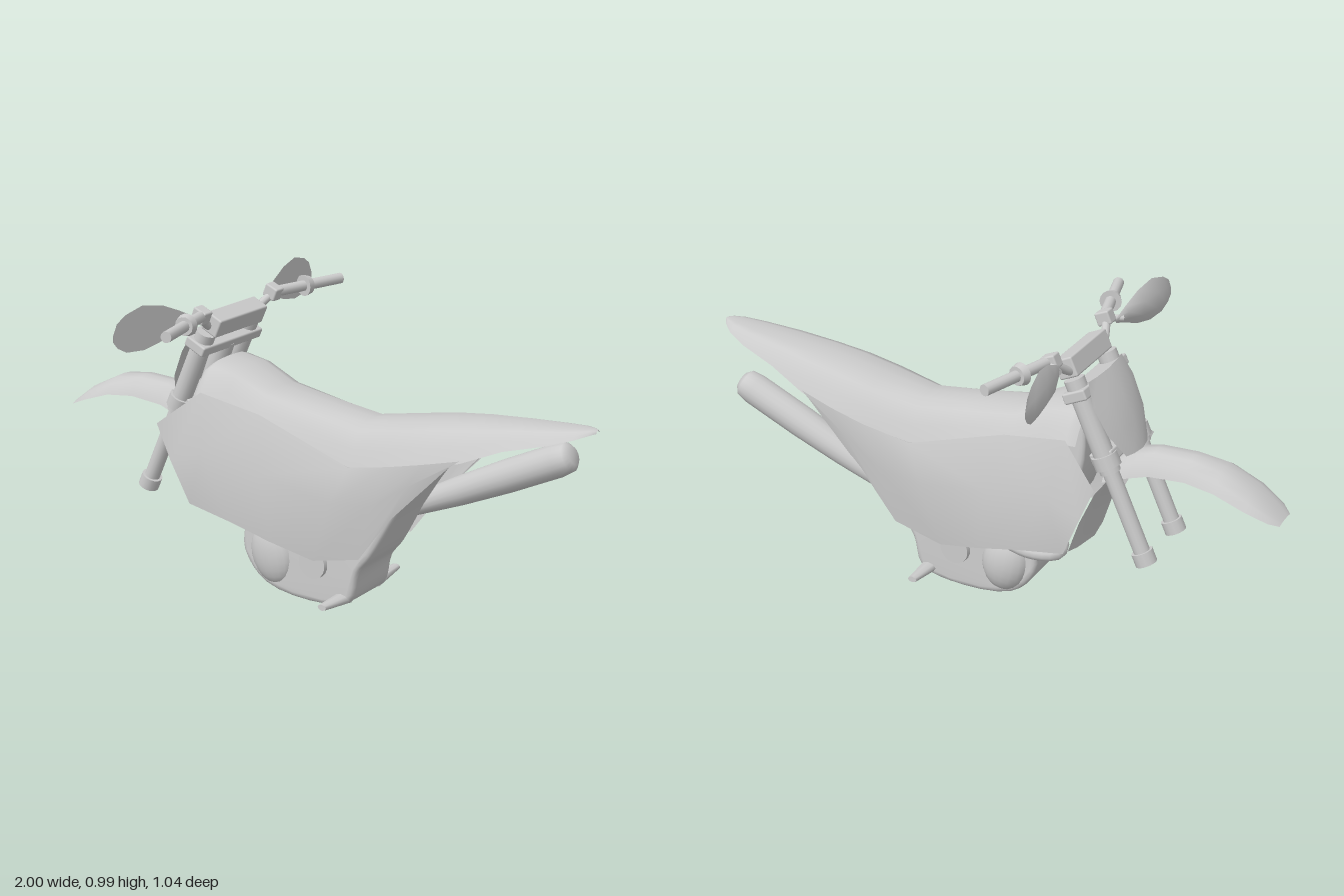
import * as THREE from 'three';
import { RoundedBoxGeometry } from 'three/addons/geometries/RoundedBoxGeometry.js';
import { mergeVertices } from 'three/addons/utils/BufferGeometryUtils.js';

const V = (p) => new THREE.Vector3(...p);

export function createModel() {
  const model = new THREE.Group();
  const solid = new THREE.MeshStandardMaterial({ color: 0xcccccc });
  const sheet = new THREE.MeshStandardMaterial({ color: 0xcccccc, side: THREE.DoubleSide });

  function add(name, geometry, material = solid, parent = model) {
    const mesh = new THREE.Mesh(geometry, material);
    mesh.name = name;
    parent.add(mesh);
    return mesh;
  }

  // Surface through rows of points, all rows the same length
  function surface(rows) {
    const n = rows[0].length, index = [];
    for (let i = 0; i < rows.length - 1; i++) {
      for (let j = 0; j < n - 1; j++) {
        const a = i * n + j, b = a + n;
        index.push(a, b, a + 1, b, b + 1, a + 1);
      }
    }
    const g = new THREE.BufferGeometry();
    g.setAttribute('position', new THREE.Float32BufferAttribute(rows.flat(2), 3));
    g.setIndex(index);
    g.computeVertexNormals();
    return g;
  }

  // Arched shell: stations are [x, crown y, edge y, half width]
  function arch(stations, profile) {
    const half = profile.slice(1);
    const full = [...half.map(([w, h]) => [-w, h]).reverse(), profile[0], ...half];
    return surface(stations.map(([x, top, edge, w]) =>
      full.map(([u, h]) => [x, edge + (top - edge) * h, u * w])));
  }

  // Round bar between two points
  function rod(name, a, b, r0, r1 = r0, parent = model, sides = 14) {
    const p = V(a), q = V(b), d = q.clone().sub(p);
    const mesh = add(name, new THREE.CylinderGeometry(r1, r0, d.length(), sides), solid, parent);
    mesh.position.copy(p).add(q).multiplyScalar(0.5);
    mesh.quaternion.setFromUnitVectors(new THREE.Vector3(0, 1, 0), d.normalize());
    return mesh;
  }

  function box(name, size, pos, tilt = 0, r = 0.006) {
    const mesh = add(name, new RoundedBoxGeometry(...size, 2, r));
    mesh.position.set(...pos);
    mesh.rotation.z = tilt;
    return mesh;
  }

  // Tank, seat and tail in one flowing shell
  add('tankSeatAndTail', arch([
    [-0.37, 0.72, 0.63, 0.15], [-0.34, 0.74, 0.635, 0.16], [-0.25, 0.73, 0.61, 0.15],
    [-0.13, 0.675, 0.585, 0.14], [0.05, 0.65, 0.54, 0.135], [0.22, 0.63, 0.5, 0.135],
    [0.38, 0.66, 0.535, 0.157], [0.5, 0.683, 0.565, 0.155], [0.62, 0.7, 0.592, 0.142],
    [0.75, 0.713, 0.648, 0.115], [0.88, 0.724, 0.682, 0.085], [0.95, 0.73, 0.705, 0.058],
    [0.985, 0.732, 0.718, 0.03], [1, 0.73, 0.722, 0.01],
  ], [[0, 1], [0.38, 0.97], [0.64, 0.83], [0.85, 0.42], [1, 0]]), sheet);

  // Side panels flaring out at the front; columns run top to bottom
  const panel = [
    [[-0.47, 0.54, 0.226], [-0.42, 0.42, 0.221], [-0.36, 0.28, 0.203]],
    [[-0.34, 0.65, 0.16], [-0.3, 0.47, 0.213], [-0.2, 0.25, 0.199]],
    [[-0.12, 0.61, 0.14], [-0.08, 0.43, 0.195], [-0.05, 0.21, 0.186]],
    [[0.22, 0.5, 0.138], [0.17, 0.38, 0.172], [0.1, 0.17, 0.158]],
    [[0.38, 0.54, 0.16], [0.32, 0.4, 0.167], [0.27, 0.21, 0.153]],
    [[0.5, 0.57, 0.157], [0.45, 0.49, 0.164], [0.38, 0.36, 0.158]],
    [[0.62, 0.6, 0.142], [0.59, 0.578, 0.147], [0.53, 0.525, 0.15]],
  ];
  for (const s of [1, -1]) {
    add('sidePanel', surface(panel.map((c) => c.map(([x, y, z]) => [x, y, s * z]))), sheet);
  }

  // Frame and crankcase core: smooth outline, narrowing towards the top
  const outline = [[-0.34, 0.7], [-0.37, 0.6], [-0.33, 0.4], [-0.22, 0.25], [-0.215, 0.12], [-0.13, 0.025],
    [0.1, 0.002], [0.205, 0.035], [0.235, 0.14], [0.28, 0.2], [0.37, 0.36], [0.48, 0.52], [0.6, 0.64],
    [0.22, 0.59], [-0.15, 0.63]].map(([x, y]) => new THREE.Vector3(x, y, 0));
  const loop = new THREE.CatmullRomCurve3(outline, true).getPoints(60).slice(0, -1);
  let core = new THREE.ExtrudeGeometry(new THREE.Shape(loop.map((p) => new THREE.Vector2(p.x, p.y))),
    { depth: 0.18, bevelThickness: 0.018, bevelSize: 0.018, bevelOffset: -0.018, bevelSegments: 3 });
  core.deleteAttribute('normal');
  core.deleteAttribute('uv');
  core = mergeVertices(core, 1e-4);
  core.translate(0, 0, -0.09);
  const cp = core.attributes.position;
  for (let i = 0; i < cp.count; i++) {
    cp.setZ(i, cp.getZ(i) * (1 - 0.25 * Math.max(0, (cp.getY(i) - 0.15) / 0.5)));
  }
  core.computeVertexNormals();
  add('frameCore', core);

  // Engine covers and foot pegs
  for (const s of [1, -1]) {
    const cover = add('crankCover', new THREE.SphereGeometry(1, 18, 12));
    cover.scale.set(0.082, 0.105, s > 0 ? 0.045 : 0.055);
    cover.position.set(-0.105, 0.13, s * 0.09);
    cover.rotation.z = 0.2;
    rod('clutchCover', [0.07, 0.14, s * 0.07], [0.07, 0.14, s * 0.122], 0.055, 0.05, model, 18);
    const peg = rod('footPeg', [0.175, 0.038, s * 0.08], [0.175, 0.047, s * 0.215], 0.019, 0.01, model, 8);
    peg.scale.x = 1.6;
  }

  // Exhaust: header pipe in front of the engine, silencer beside the tail
  add('headerPipe', new THREE.TubeGeometry(new THREE.CatmullRomCurve3([
    [-0.18, 0.26, 0], [-0.27, 0.21, -0.02], [-0.28, 0.195, -0.07], [-0.2, 0.2, -0.115],
    [0, 0.26, -0.115], [0.25, 0.3, -0.11]].map(V)), 30, 0.022, 10));
  const silencer = add('silencer', new THREE.LatheGeometry([
    [0, 0], [0.026, 0], [0.035, 0.12], [0.047, 0.3], [0.053, 0.48], [0.053, 0.67],
    [0.047, 0.71], [0.03, 0.725], [0, 0.725]].map((p) => new THREE.Vector2(...p)), 18));
  silencer.position.set(0.2, 0.27, -0.11);
  silencer.quaternion.setFromUnitVectors(new THREE.Vector3(0, 1, 0), V([0.63, 0.305, -0.03]).normalize());

  // Front fender and the curved guard hanging behind the forks
  const bend = [[0, 1], [0.45, 0.93], [0.8, 0.6], [1, 0]];
  add('frontFender', arch([
    [-1, 0.47, 0.465, 0.045], [-0.97, 0.495, 0.48, 0.072], [-0.9, 0.55, 0.51, 0.09], [-0.8, 0.6, 0.545, 0.088],
    [-0.7, 0.615, 0.555, 0.078], [-0.58, 0.612, 0.545, 0.075], [-0.5, 0.59, 0.52, 0.08], [-0.43, 0.54, 0.49, 0.08],
  ], bend), sheet);
  add('innerGuard', surface([[-0.48, 0.53, 0.08], [-0.43, 0.46, 0.11], [-0.39, 0.36, 0.13], [-0.355, 0.25, 0.135]]
    .map(([x, y, w]) => [-1, -0.7, 0, 0.7, 1].map((u) => [x + 0.03 * u * u - 0.02, y, u * w]))), sheet);

  // Fork legs with collars
  for (const s of [1, -1]) {
    const z = s * 0.115;
    const at = (t) => [-0.6 + 0.25 * t, 0.28 + 0.55 * t, z];
    rod('forkLower', at(0), at(0.55), 0.026);
    rod('forkUpper', at(0.5), at(1.02), 0.033);
    rod('axleLug', at(-0.02), at(0.05), 0.035);
    rod('forkCollar', at(0.53), at(0.6), 0.042);
  }

  // Steering clamps, stem and bar pad
  box('lowerClamp', [0.08, 0.04, 0.26], [-0.45, 0.6, 0], -0.43);
  box('upperClamp', [0.08, 0.035, 0.312], [-0.365, 0.797, 0], -0.43);
  rod('steeringStem', [-0.44, 0.59, 0], [-0.36, 0.79, 0], 0.035);
  box('barPad', [0.065, 0.065, 0.25], [-0.32, 0.87, 0], -0.43);

  // Number plate in front of the forks
  add('numberPlate', surface([[-0.405, 0.84, 0.12, 0.01], [-0.455, 0.77, 0.145, 0.03], [-0.5, 0.68, 0.13, 0.03],
    [-0.53, 0.6, 0.08, 0.02]].map(([x, y, w, back]) =>
    [-1, -0.6, 0, 0.6, 1].map((u) => [x + back * u * u, y, u * w]))), sheet);

  // Handlebar with grips, clamps and lens-shaped hand guards
  add('handlebar', new THREE.TubeGeometry(new THREE.CatmullRomCurve3([
    [-0.3, 0.918, -0.21], [-0.315, 0.9, -0.175], [-0.335, 0.86, -0.11], [-0.335, 0.85, 0],
    [-0.335, 0.86, 0.11], [-0.315, 0.9, 0.175], [-0.3, 0.918, 0.21]].map(V)), 32, 0.014, 10));
  const leaf = [[0.2, 0.915, 0.9], [0.25, 0.94, 0.885], [0.32, 0.97, 0.857], [0.4, 0.985, 0.842],
    [0.47, 0.967, 0.848], [0.505, 0.945, 0.868], [0.522, 0.91, 0.89]];
  for (const s of [1, -1]) {
    const half = new THREE.Group();
    half.name = 'barEnd';
    model.add(half);
    rod('grip', [-0.3, 0.918, s * 0.19], [-0.225, 0.92, s * 0.465], 0.018, 0.018, half);
    rod('gripFlange', [-0.268, 0.919, s * 0.31], [-0.262, 0.919, s * 0.333], 0.036, 0.03, half);
    half.add(box('leverClamp', [0.05, 0.045, 0.042], [-0.305, 0.918, s * 0.19], -0.4));
    rod('guardMount', [-0.305, 0.912, s * 0.2], [-0.35, 0.908, s * 0.23], 0.012, 0.01, half);
    for (const depth of [0.035, 0]) {
      add('handGuard', surface(leaf.map(([z, top, low]) => [0, 0.3, 0.7, 1].map((t) => {
        const k = (z - 0.2) / 0.32;
        const bulge = depth * Math.sin(Math.PI * k) * Math.sin(Math.PI * t);
        return [-0.338 - 0.048 * k - bulge, low + (top - low) * t, s * z];
      }))), sheet, half);
    }
  }

  return model;
}
